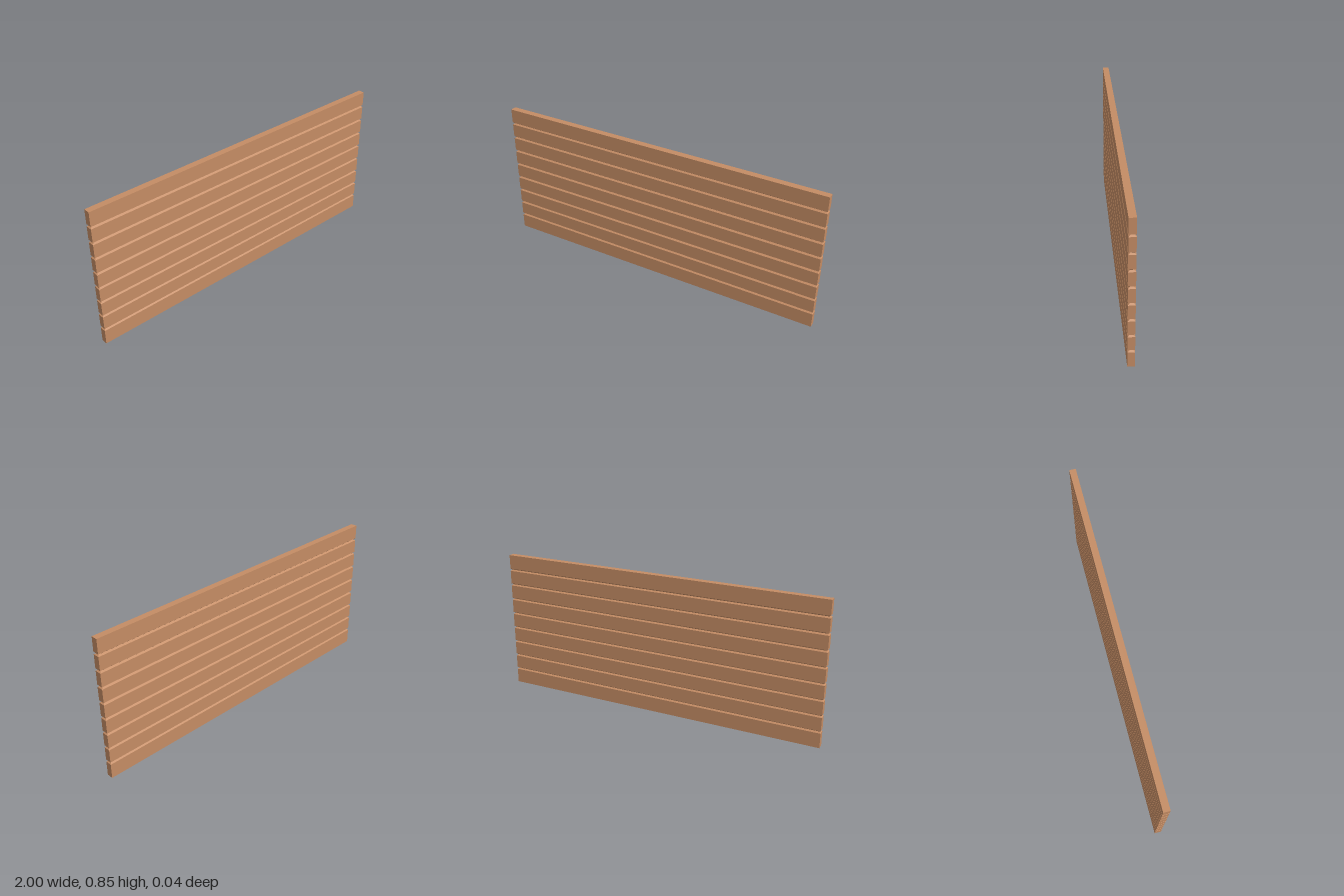
import * as THREE from 'three';

const LENGTH = 2, DEPTH = 0.038, HEIGHT = 0.847;
const BOARDS = 9, PITCH = 0.0941;
const JOINT = 0.0957;   // height of the first joint between boards
const CHAMFER = 0.0073; // vertical size of the chamfer
const INSET = 0.0095;   // how far the chamfer cuts inwards, on all four sides

// Board whose top and/or bottom rim is chamfered all the way round
function boardGeometry(y0, y1, chamferBottom, chamferTop) {
  const rows = [{ y: y0, inset: chamferBottom ? INSET : 0 }];
  if (chamferBottom) rows.push({ y: y0 + CHAMFER, inset: 0 });
  if (chamferTop) rows.push({ y: y1 - CHAMFER, inset: 0 });
  rows.push({ y: y1, inset: chamferTop ? INSET : 0 });

  const n = rows.length - 1;
  const box = new THREE.BoxGeometry(LENGTH, n, DEPTH, 1, n, 1);
  const p = box.attributes.position;
  for (let i = 0; i < p.count; i++) {
    const row = rows[Math.round(p.getY(i) + n / 2)];
    p.setXYZ(i,
      Math.sign(p.getX(i)) * (LENGTH / 2 - row.inset),
      row.y,
      Math.sign(p.getZ(i)) * (DEPTH / 2 - row.inset));
  }
  const geometry = box.toNonIndexed();
  geometry.computeVertexNormals();
  return geometry;
}

export function createModel() {
  const panel = new THREE.Group();
  panel.name = 'boardPanel';
  const wood = new THREE.MeshStandardMaterial({ color: 0xc48c64, flatShading: true });

  // Boards stacked edge to edge, leaving V-grooves at the joints
  for (let i = 0; i < BOARDS; i++) {
    const first = i === 0, last = i === BOARDS - 1;
    const y0 = first ? 0 : JOINT + (i - 1) * PITCH;
    const y1 = last ? HEIGHT : JOINT + i * PITCH;
    const board = new THREE.Mesh(boardGeometry(y0, y1, !first, !last), wood);
    board.name = `board${i + 1}`;
    panel.add(board);
  }
  return panel;
}
